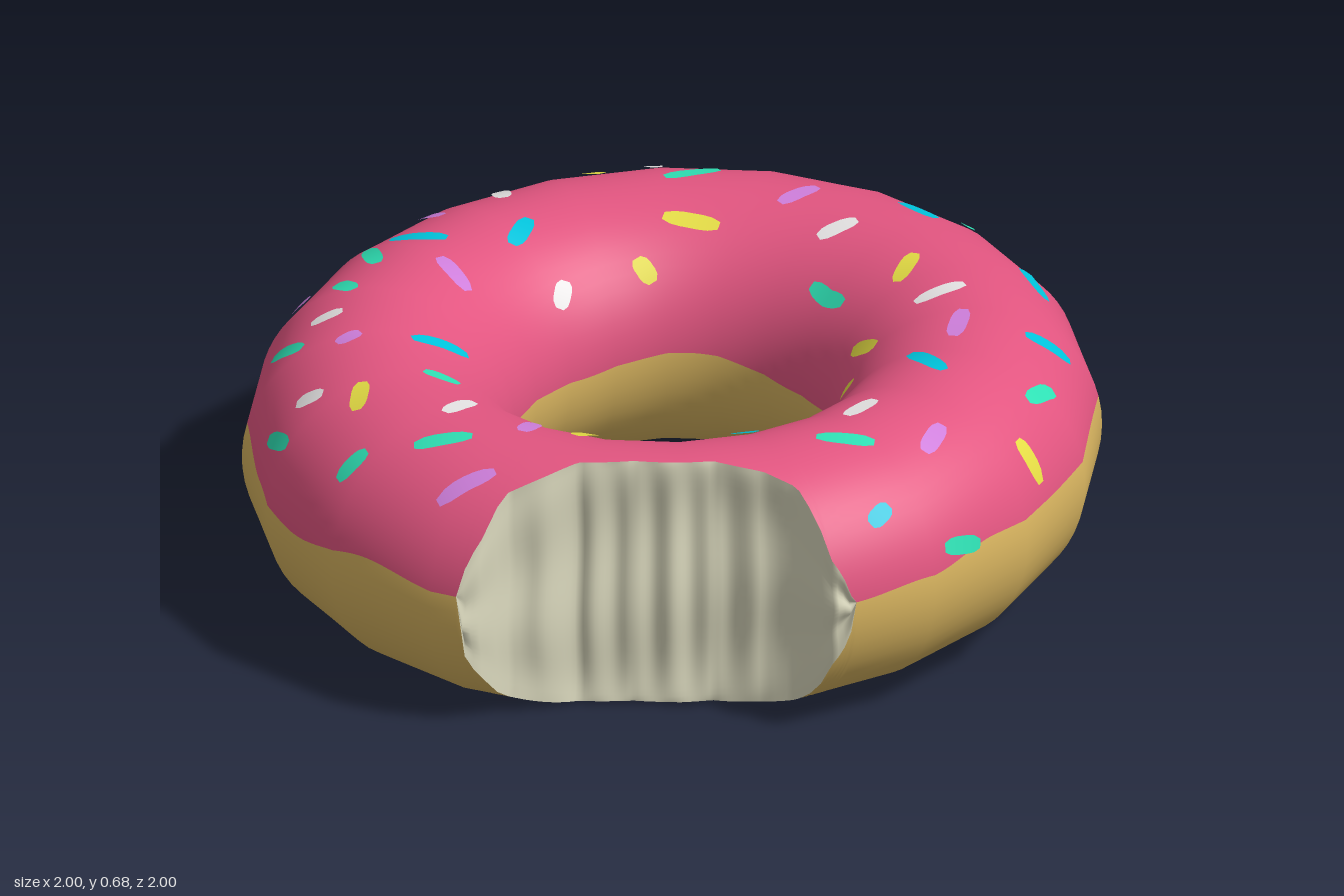
import * as THREE from 'three';

const R = 0.69, TUBE = 0.31, HALF_H = 0.312, SIDES = 20, COLS = 480;
const DEG = Math.PI / 180, TAU = Math.PI * 2;

const mat = (name, color) => {
  const m = new THREE.MeshStandardMaterial({ color });
  m.name = name;
  return m;
};

// [degrees, value] keys: edge heights of the icing and plan outline of the bite
const OUTER_EDGE = [[0, 0.38], [12, 0.36], [72, 0.355], [84, 0.37], [101, 0.32], [114, 0.35], [127, 0.4],
  [143, 0.41], [180, 0.355], [225, 0.36], [270, 0.39], [307, 0.44], [336, 0.41], [348, 0.41], [360, 0.38]];
const INNER_EDGE = [[0, 0.37], [45, 0.41], [90, 0.42], [135, 0.33], [180, 0.34], [225, 0.38], [270, 0.34],
  [315, 0.36], [360, 0.37]];
const BITE = [[12.2, 0.992], [15, 0.963], [17.4, 0.838], [21.9, 0.776], [30.1, 0.717], [35.9, 0.716],
  [45, 0.707], [55, 0.732], [59.5, 0.789], [64.9, 0.85], [65.9, 0.931], [69, 1.007]];

function sample(keys, deg, smooth) {
  for (let i = 1; i < keys.length; i++) {
    const [d0, v0] = keys[i - 1], [d1, v1] = keys[i];
    if (deg >= d0 && deg <= d1) {
      let t = (deg - d0) / (d1 - d0);
      if (smooth) t = t * t * (3 - 2 * t);
      return v0 + (v1 - v0) * t;
    }
  }
  return null;
}

// Ring surface: twenty-sided in plan, slightly tilted
function polyScale(th) {
  const step = TAU / SIDES, a = ((th % step) + step) % step;
  return Math.cos(step / 2) / Math.cos(a - step / 2);
}
const centreY = z => 0.34 - 0.035 * z;

function ringPoint(th, phi) {
  const r = polyScale(th) * (R + TUBE * Math.cos(phi)), z = r * Math.sin(th);
  return new THREE.Vector3(r * Math.cos(th), centreY(z) + HALF_H * Math.sin(phi), z);
}
function ringNormal(th, phi) {
  const c = Math.cos(phi) / TUBE;
  return new THREE.Vector3(c * Math.cos(th), Math.sin(phi) / HALF_H, c * Math.sin(th)).normalize();
}

// Where icing, dough and bite meet on one cross-section
function section(th) {
  const deg = Math.min(360, Math.max(0, th / DEG)), s = polyScale(th);
  const angle = (y, r) => Math.asin((y - centreY(r * Math.sin(th))) / HALF_H);
  const outer = angle(sample(OUTER_EDGE, deg, true), s);
  const inner = Math.PI - angle(sample(INNER_EDGE, deg, true), s * (R - TUBE));
  const radius = sample(BITE, deg, false);
  let cut = 0;
  if (radius) cut = Math.acos(THREE.MathUtils.clamp((radius / s - R) / TUBE, -1, 1));
  const bitten = cut > Math.abs(outer);
  return { inner, radius, top: bitten ? cut : outer, bottom: bitten ? -cut : outer, bitten };
}

// Grid around the ring; range(section) gives the arc covered at each column
function band(name, material, rows, angles, range, point, normal) {
  const pos = [], nor = [], idx = [], n = rows + 1;
  angles.forEach((th, i) => {
    const sec = section(th), [a, b] = range(sec);
    for (let j = 0; j <= rows; j++) {
      const phi = a + (b - a) * j / rows;
      pos.push(...point(th, phi, sec, j / rows).toArray());
      if (normal) nor.push(...normal(th, phi).toArray());
      if (i < angles.length - 1 && j < rows) {
        const k = i * n + j;
        idx.push(k, k + 1, k + n, k + 1, k + n + 1, k + n);
      }
    }
  });
  const g = new THREE.BufferGeometry();
  g.setAttribute('position', new THREE.Float32BufferAttribute(pos, 3));
  g.setIndex(idx);
  if (normal) g.setAttribute('normal', new THREE.Float32BufferAttribute(nor, 3));
  else g.computeVertexNormals();
  const mesh = new THREE.Mesh(g, material);
  mesh.name = name;
  return mesh;
}

// Crumbly vertical wall left by the bite
function wallPoint(th, phi, sec, t) {
  if (!sec.bitten) return ringPoint(th, phi);
  const fade = Math.sin(Math.PI * t);
  const r = sec.radius + fade * (0.008 * Math.sin(th * 50) + 0.008 * Math.sin(t * 13 + th * 3));
  const z = sec.radius * Math.sin(th);
  return new THREE.Vector3(r * Math.cos(th), centreY(z) + HALF_H * Math.sin(phi), r * Math.sin(th));
}

// Thin rounded ribbons lying on the icing, given by plan end points x1, z1, x2, z2
function sprinkles(name, material, ends) {
  const pos = [], nor = [], idx = [], widths = [0.5, 0.9, 1, 1, 1, 0.9, 0.5], last = widths.length - 1;
  for (let e = 0; e < ends.length; e += 4) {
    const pts = widths.map((w, i) => {
      const t = i / last;
      const x = ends[e] + (ends[e + 2] - ends[e]) * t, z = ends[e + 1] + (ends[e + 3] - ends[e + 1]) * t;
      const th = Math.atan2(z, x), u = (Math.hypot(x, z) / polyScale(th) - R) / TUBE;
      const phi = Math.acos(THREE.MathUtils.clamp(u, -0.985, 0.985));
      const normal = ringNormal(th, phi);
      return { p: ringPoint(th, phi).addScaledVector(normal, 0.006), normal };
    });
    const along = pts[last].p.clone().sub(pts[0].p).normalize();
    pts.forEach(({ p, normal }, i) => {
      const side = normal.clone().cross(along).normalize().multiplyScalar(0.022 * widths[i]);
      const k = pos.length / 3;
      pos.push(...p.clone().add(side).toArray(), ...p.clone().sub(side).toArray());
      nor.push(...normal.toArray(), ...normal.toArray());
      if (i < last) idx.push(k, k + 1, k + 3, k, k + 3, k + 2);
    });
  }
  const g = new THREE.BufferGeometry();
  g.setAttribute('position', new THREE.Float32BufferAttribute(pos, 3));
  g.setAttribute('normal', new THREE.Float32BufferAttribute(nor, 3));
  g.setIndex(idx);
  const mesh = new THREE.Mesh(g, material);
  mesh.name = name;
  return mesh;
}

export function createModel() {
  const group = new THREE.Group();
  group.name = 'bittenDoughnut';
  const around = Array.from({ length: COLS + 1 }, (_, i) => i / COLS * TAU);
  const biteAngles = around.filter(a => a > 11 * DEG && a < 71 * DEG);

  // Ring body
  group.add(
    band('icing', mat('pinkIcing', 0xe25580), 28, around, s => [s.top, s.inner], ringPoint, ringNormal),
    band('dough', mat('goldenDough', 0xd9b560), 28, around, s => [s.inner, TAU + s.bottom], ringPoint, ringNormal),
    band('biteWall', mat('creamCrumb', 0xdad8bd), 24, biteAngles, s => [s.bottom, s.top], wallPoint, null),
  );

  // Sprinkles, one mesh per colour
  group.add(
    sprinkles('tealSprinkles', mat('teal', 0x2ee0b4), [
      -0.09, -0.88, 0.02, -0.86, -0.57, -0.42, -0.53, -0.55, -0.06, -0.46, 0.06, -0.46,
      0.72, -0.56, 0.75, -0.46, 0.97, -0.15, 0.98, -0.04, 0.69, 0.11, 0.78, 0.01,
      -0.79, 0.28, -0.68, 0.34, -0.69, 0.45, -0.61, 0.46, -0.63, 0.68, -0.52, 0.68,
      -0.18, 0.59, -0.1, 0.55, 0.07, 0.81, 0.16, 0.71, -0.06, 0.93, -0.03, 0.87,
      -0.4, 0.87, -0.29, 0.9, -0.95, 0.22, -0.93, 0.29]),
    sprinkles('blueSprinkles', mat('blue', 0x00c4dc), [
      -0.14, -0.78, -0.02, -0.79, 0.25, -0.83, 0.37, -0.81, 0.55, -0.61, 0.6, -0.7,
      0.48, -0.33, 0.62, -0.32, -0.92, -0.27, -0.91, -0.23, -0.62, -0.06, -0.57, 0.03,
      -0.77, 0.23, -0.66, 0.15, -0.33, 0.51, -0.29, 0.38, 0.37, 0.35, 0.43, 0.27,
      0.51, 0.22, 0.55, 0.17, 0.91, 0.07, 0.92, 0.13]),
    sprinkles('violetSprinkles', mat('violet', 0xcf7fdc), [
      -0.3, -0.66, -0.3, -0.55, 0.41, -0.54, 0.5, -0.44, 0.79, -0.18, 0.84, -0.09,
      0.4, 0.12, 0.49, 0.04, -0.87, 0.07, -0.78, 0.07, -0.6, 0.22, -0.48, 0.23,
      -0.79, 0.5, -0.75, 0.48, -0.43, 0.65, -0.42, 0.59, 0.17, 0.53, 0.22, 0.61,
      0.24, 0.87, 0.3, 0.75]),
    sprinkles('whiteSprinkles', mat('white', 0xe6e4e4), [
      -0.41, -0.72, -0.34, -0.82, -0.73, -0.49, -0.64, -0.45, -0.14, -0.54, -0.11, -0.63,
      0.28, -0.5, 0.31, -0.62, 0.63, -0.11, 0.65, -0.01, -0.81, -0.12, -0.74, -0.08,
      -0.46, -0.04, -0.43, 0, -0.59, 0.6, -0.55, 0.54, 0.01, 0.59, 0.03, 0.69,
      -0.36, 0.82, -0.3, 0.79]),
    sprinkles('yellowSprinkles', mat('yellow', 0xe4dc44), [
      -0.5, -0.77, -0.49, -0.82, -0.75, -0.61, -0.69, -0.63, -0.78, -0.32, -0.7, -0.34,
      -0.46, -0.33, -0.35, -0.41, 0.11, -0.63, 0.16, -0.54, 0.2, -0.38, 0.29, -0.38,
      0.29, -0.28, 0.33, -0.28, 0.84, -0.36, 0.89, -0.39, -0.42, -0.22, -0.37, -0.23,
      0.29, 0.45, 0.3, 0.52, -0.23, 0.73, -0.16, 0.8, 0.16, 0.38, 0.22, 0.39]),
  );
  return group;
}
